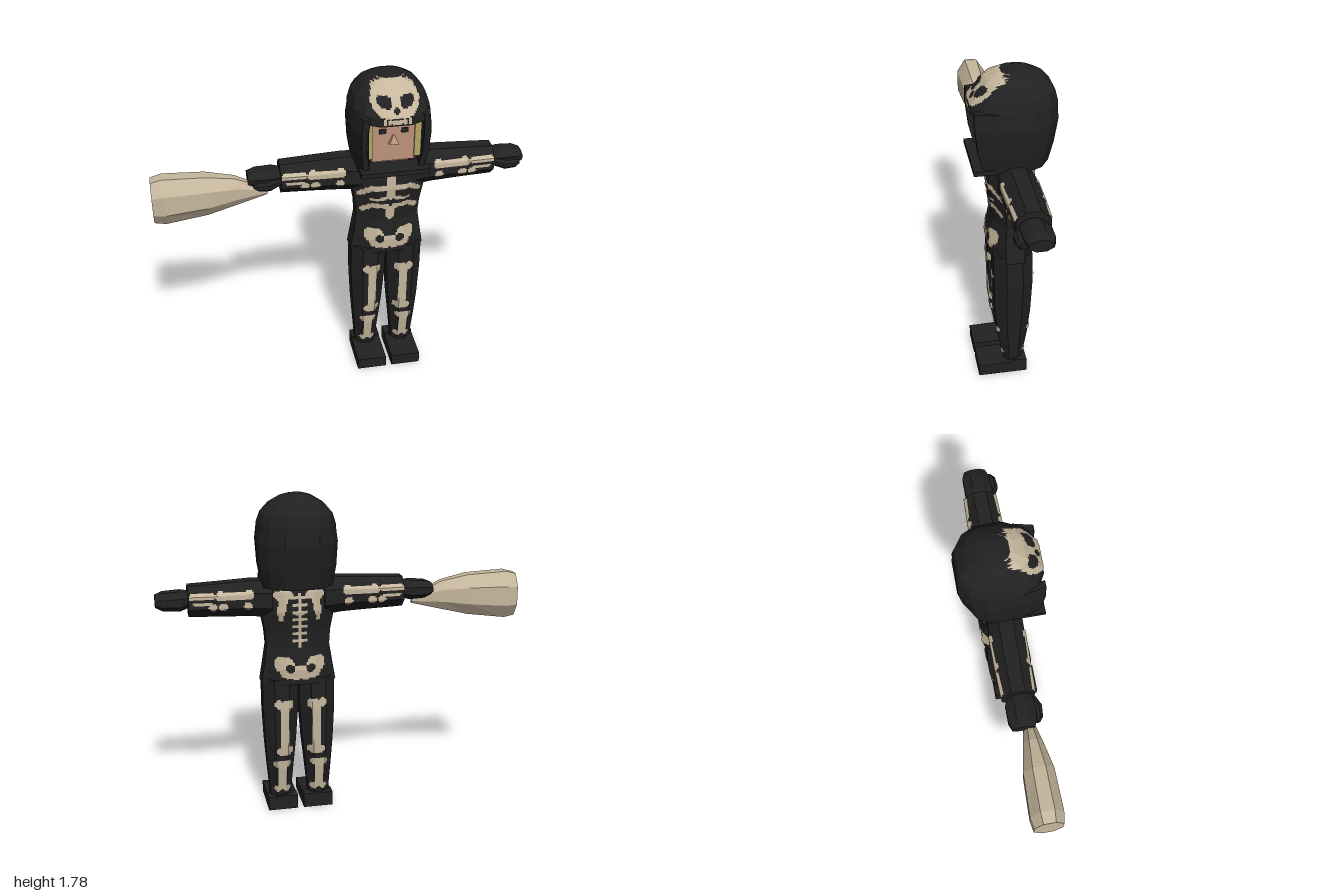
import * as THREE from 'three';

const mat = (name, color) => Object.assign(new THREE.MeshStandardMaterial({ color }), { name });
const M = {
  cloth: mat('black cloth', 0x212121),
  bone: mat('bone', 0xc6b79d),
  skin: mat('skin', 0xbd937b),
  hair: mat('blond hair', 0xb5a565),
  dark: mat('eye dark', 0x262423),
};
const V = (x, y, z) => new THREE.Vector3(x, y, z);

function flat(points) {
  const g = new THREE.BufferGeometry().setFromPoints(points);
  g.computeVertexNormals();
  return g;
}

// Closed, faceted skin through equal-length rings, with fan caps at both ends
function loft(rings) {
  const tris = [];
  const n = rings[0].length;
  for (let r = 0; r < rings.length - 1; r++) {
    for (let i = 0; i < n; i++) {
      const j = (i + 1) % n, a = rings[r], b = rings[r + 1];
      tris.push([a[i], a[j], b[j]], [a[i], b[j], b[i]]);
    }
  }
  for (const [ring, first] of [[rings[0], true], [rings[rings.length - 1], false]]) {
    const c = ring.reduce((s, p) => s.add(p), V(0, 0, 0)).divideScalar(n);
    for (let i = 0; i < n; i++) {
      const a = ring[i], b = ring[(i + 1) % n];
      tris.push(first ? [c, b, a] : [c, a, b]);
    }
  }
  // turn the surface outward
  const volume = tris.reduce((s, [a, b, c]) => s + a.dot(b.clone().cross(c)), 0);
  return flat(tris.flatMap(([a, b, c]) => (volume < 0 ? [a, c, b] : [a, b, c])));
}

// Octagon with given half extents; upright rings lie in xz, sideways rings in yz
function octagon(place, ra, rb) {
  const k = 1 / Math.cos(Math.PI / 8), ring = [];
  for (let i = 0; i < 8; i++) {
    const t = (i + 0.5) * Math.PI / 4;
    ring.push(place(Math.cos(t) * ra * k, Math.sin(t) * rb * k));
  }
  return ring;
}
// rows: [y, centre x, half width, front z, back z]
const upright = rows => loft(rows.map(([y, cx, w, f, b]) =>
  octagon((p, q) => V(cx + p, y, (f + b) / 2 + q), w, (f - b) / 2)));
// rows: [x, low y, high y, front z, back z]
const sideways = (rows, s = 1) => loft(rows.map(([x, lo, hi, f, b]) =>
  octagon((p, q) => V(s * x, (lo + hi) / 2 + p, (f + b) / 2 + q), (hi - lo) / 2, (f - b) / 2)));

// Thin painted layer laid on the target meshes. Each stroke is [x1, y1, x2, y2, radius],
// mirrored in x; a negative radius cuts a hole.
function painted(strokes, targets, side) {
  const cell = 0.008, ray = new THREE.Raycaster(), cache = new Map(), pts = [];
  const covers = (x, y, [x1, y1, x2, y2, r]) => {
    const dx = x2 - x1, dy = y2 - y1;
    const t = Math.min(1, Math.max(0, ((x - x1) * dx + (y - y1) * dy) / (dx * dx + dy * dy || 1)));
    return Math.hypot(x - x1 - dx * t, y - y1 - dy * t) < Math.abs(r);
  };
  const inside = (x, y) => strokes.some(s => s[4] > 0 && covers(x, y, s))
    && !strokes.some(s => s[4] < 0 && covers(x, y, s));
  const corner = (i, j) => {
    const key = i * 1000 + j;
    if (!cache.has(key)) {
      const x = i * cell + 0.0003, y = j * cell + 0.0007;
      ray.set(V(x, y, side * 2), V(0, 0, -side));
      const hit = ray.intersectObjects(targets)[0];
      cache.set(key, hit ? V(x, y, hit.point.z + side * 0.005) : null);
    }
    return cache.get(key);
  };
  for (let i = -80; i < 80; i++) {
    for (let j = 0; j < 230; j++) {
      if (!inside(Math.abs((i + 0.5) * cell), (j + 0.5) * cell)) continue;
      const [a, b, c, d] = [corner(i, j), corner(i + 1, j), corner(i + 1, j + 1), corner(i, j + 1)];
      if (!a || !b || !c || !d) continue;
      pts.push(...(side > 0 ? [a, b, c, a, c, d] : [a, c, b, a, d, c]));
    }
  }
  return flat(pts);
}

export function createModel() {
  const body = new THREE.Group();
  body.name = 'costumedFigure';
  body.position.x = 0.25;
  const add = (name, geometry, material) => {
    const m = new THREE.Mesh(geometry, material);
    m.name = name;
    body.add(m);
    return m;
  };
  const box = (name, material, w, h, d, x, y, z) =>
    add(name, new THREE.BoxGeometry(w, h, d).translate(x, y, z), material);

  // Torso with a flared hem
  const torso = add('torso', upright([
    [0.755, 0, 0.205, 0.115, -0.115], [0.84, 0, 0.19, 0.12, -0.12], [0.96, 0, 0.172, 0.1, -0.1],
    [1.04, 0, 0.178, 0.105, -0.1], [1.16, 0, 0.2, 0.12, -0.12], [1.27, 0, 0.195, 0.115, -0.11],
    [1.31, 0, 0.16, 0.09, -0.09]]), M.cloth);
  const suit = [torso];

  for (const s of [1, -1]) {
    const side = s > 0 ? 'left' : 'right';
    // Leg, shoe, sleeve and hand
    suit.push(add(side + 'Leg', upright([
      [0.06, s * 0.108, 0.056, 0.05, -0.05], [0.25, s * 0.107, 0.072, 0.085, -0.08],
      [0.4, s * 0.105, 0.085, 0.1, -0.095], [0.6, s * 0.102, 0.097, 0.105, -0.105],
      [0.78, s * 0.1, 0.099, 0.108, -0.1]]), M.cloth));
    const shoe = new THREE.Shape([[-0.07, 0], [0.198, 0], [0.198, 0.065], [0, 0.07], [0, 0.08], [-0.07, 0.08]]
      .map(p => new THREE.Vector2(...p)));
    add(side + 'Shoe', new THREE.ExtrudeGeometry(shoe, { depth: 0.166, bevelEnabled: false })
      .rotateY(-Math.PI / 2).translate(s * 0.1 + 0.083, 0, 0), M.cloth);
    suit.push(add(side + 'Sleeve', sideways([
      [0.14, 1.12, 1.325, 0.085, -0.095], [0.24, 1.135, 1.328, 0.085, -0.1],
      [0.4, 1.142, 1.32, 0.08, -0.1], [0.58, 1.148, 1.312, 0.075, -0.095]], s), M.cloth));
    add(side + 'Hand', sideways([
      [0.56, 1.2, 1.275, 0.05, -0.06], [0.62, 1.18, 1.285, 0.065, -0.085],
      [0.71, 1.185, 1.28, 0.06, -0.085], [0.75, 1.205, 1.265, 0.045, -0.07]], s), M.cloth);
    add(side + 'Thumb', sideways([
      [0.58, 1.21, 1.25, 0.07, 0.02], [0.64, 1.195, 1.25, 0.1, 0.04],
      [0.7, 1.2, 1.245, 0.095, 0.05], [0.725, 1.21, 1.235, 0.075, 0.05]], s), M.cloth);

    // Hair, eye and brow on each side of the face
    box(side + 'Hair', M.hair, 0.035, 0.215, 0.2, s * 0.128, 1.468, 0.04);
    box(side + 'Eye', M.dark, 0.036, 0.026, 0.008, s * 0.058, 1.513, 0.133);
    box(side + 'Brow', M.hair, 0.05, 0.012, 0.008, s * 0.058, 1.545, 0.133);
  }

  // Head, neck, fringe and nose
  box('head', M.skin, 0.226, 0.24, 0.23, 0, 1.46, 0.015);
  box('neck', M.skin, 0.19, 0.12, 0.17, 0, 1.3, 0);
  box('fringe', M.hair, 0.25, 0.03, 0.22, 0, 1.576, 0.026);
  add('nose', new THREE.ConeGeometry(0.036, 0.05, 4).toNonIndexed()
    .rotateY(Math.PI / 4).translate(0, 1.472, 0.135), M.skin).geometry.computeVertexNormals();

  // Hood wall: vertical slices swept round the back, open at the front
  const outline = [[0.84, 1], [0.96, 0.5], [1, 0], [0.98, -0.4], [0.8, -0.75], [0.42, -1]];
  const stations = [...outline, ...outline.map(([x, z]) => [-x, z]).reverse()];
  // rows: [y, half width, front z, back z]
  const wall = [[1.295, 0.19, 0.16, -0.185], [1.4, 0.208, 0.185, -0.21],
    [1.53, 0.215, 0.2, -0.23], [1.62, 0.203, 0.2, -0.222]];
  const at = ([px, pz], [y, w, f, b], k) => V(px * w * k, y, (pz > 0 ? pz * f : -pz * b * k));
  add('hoodWall', loft(stations.map(p =>
    [...wall.map(r => at(p, r, 1)), ...wall.map(r => at(p, r, 0.8)).reverse()])), M.cloth);
  box('hoodCollar', M.cloth, 0.36, 0.025, 0.12, 0, 1.3, 0.148);

  // Hood crown
  const round = [[0.38, 1], [0.78, 0.8], [0.98, 0.4], [1, 0], [0.98, -0.4], [0.8, -0.75], [0.42, -1]];
  const crownRing = [...round, ...round.map(([x, z]) => [-x, z]).reverse()];
  const crown = add('hoodCrown', loft([
    [1.575, 0.205, 0.208, -0.226], [1.62, 0.204, 0.203, -0.226], [1.68, 0.185, 0.16, -0.212],
    [1.73, 0.143, 0.112, -0.17], [1.765, 0.085, 0.055, -0.11], [1.78, 0.04, 0, -0.065]]
    .map(([y, w, f, b]) => crownRing.map(([x, z]) =>
      V(x * w, y, (f + b) / 2 + z * (f - b) / 2)))), M.cloth);

  // Skull badge on the crown, with a row of teeth
  add('skullBadge', painted([
    [0, 1.694, 0.05, 1.694, 0.075], [0.045, 1.683, 0.07, 1.69, -0.025], [0, 1.643, 0, 1.655, -0.013],
    [0.012, 1.59, 0.012, 1.602, 0.01], [0.038, 1.59, 0.038, 1.604, 0.01],
    [0.064, 1.594, 0.064, 1.608, 0.01]], [crown], 1), M.bone);

  // Limb and hip bones shared by front and back
  const limbs = [
    [0.085, 0.36, 0.085, 0.64, 0.025], [0.062, 0.635, 0.062, 0.64, 0.024], [0.115, 0.64, 0.12, 0.645, 0.024],
    [0.062, 0.36, 0.062, 0.365, 0.022], [0.112, 0.36, 0.112, 0.365, 0.022],
    [0.09, 0.13, 0.09, 0.27, 0.013], [0.115, 0.13, 0.115, 0.27, 0.011],
    [0.075, 0.285, 0.13, 0.285, 0.021], [0.075, 0.125, 0.08, 0.125, 0.019], [0.125, 0.125, 0.13, 0.125, 0.019],
    [0.27, 1.258, 0.41, 1.258, 0.02], [0.262, 1.265, 0.262, 1.265, 0.025], [0.262, 1.205, 0.275, 1.205, 0.018],
    [0.41, 1.262, 0.415, 1.262, 0.024], [0.395, 1.205, 0.405, 1.205, 0.019], [0.45, 1.205, 0.458, 1.205, 0.019],
    [0.46, 1.262, 0.56, 1.262, 0.018], [0.46, 1.225, 0.55, 1.225, 0.007],
    [0.08, 0.87, 0.095, 0.87, 0.045], [0.02, 0.825, 0.075, 0.835, 0.04], [0.05, 0.845, 0.058, 0.85, -0.021],
  ];
  add('frontBones', painted([...limbs,
    // breastbone, collarbones, ribs and lower spine
    [0, 1.11, 0, 1.26, 0.021], [0.03, 1.272, 0.1, 1.268, 0.012],
    [0.02, 1.168, 0.1, 1.168, 0.013], [0.1, 1.168, 0.165, 1.125, 0.015],
    [0.03, 1.1, 0.1, 1.095, 0.01], [0.02, 1.05, 0.1, 1.055, 0.015], [0.1, 1.055, 0.145, 1.025, 0.014],
    [0, 0.985, 0, 1.03, 0.022]], suit, 1), M.bone);
  add('backBones', painted([...limbs,
    // shoulder blades
    [0.06, 1.255, 0.11, 1.25, 0.025], [0.085, 1.23, 0.1, 1.16, 0.022], [0.098, 1.16, 0.103, 1.12, 0.012],
    // spine
    ...[0, 1, 2, 3, 4, 5, 6].map(i => [0, 1.0 + i * 0.04, 0.026, 1.0 + i * 0.04, 0.012]),
    [0, 0.97, 0, 1.25, 0.012]], suit, -1), M.bone);

  // Club held in the right hand
  add('club', sideways([
    [-1.25, 1.05, 1.29, 0.095, -0.055], [-1.19, 1.04, 1.305, 0.105, -0.065],
    [-0.97, 1.07, 1.295, 0.1, -0.058], [-0.82, 1.105, 1.265, 0.07, -0.03],
    [-0.65, 1.145, 1.185, 0.032, 0.005]]), M.bone);

  const model = new THREE.Group();
  model.name = 'model';
  model.add(body);
  return model;
}
